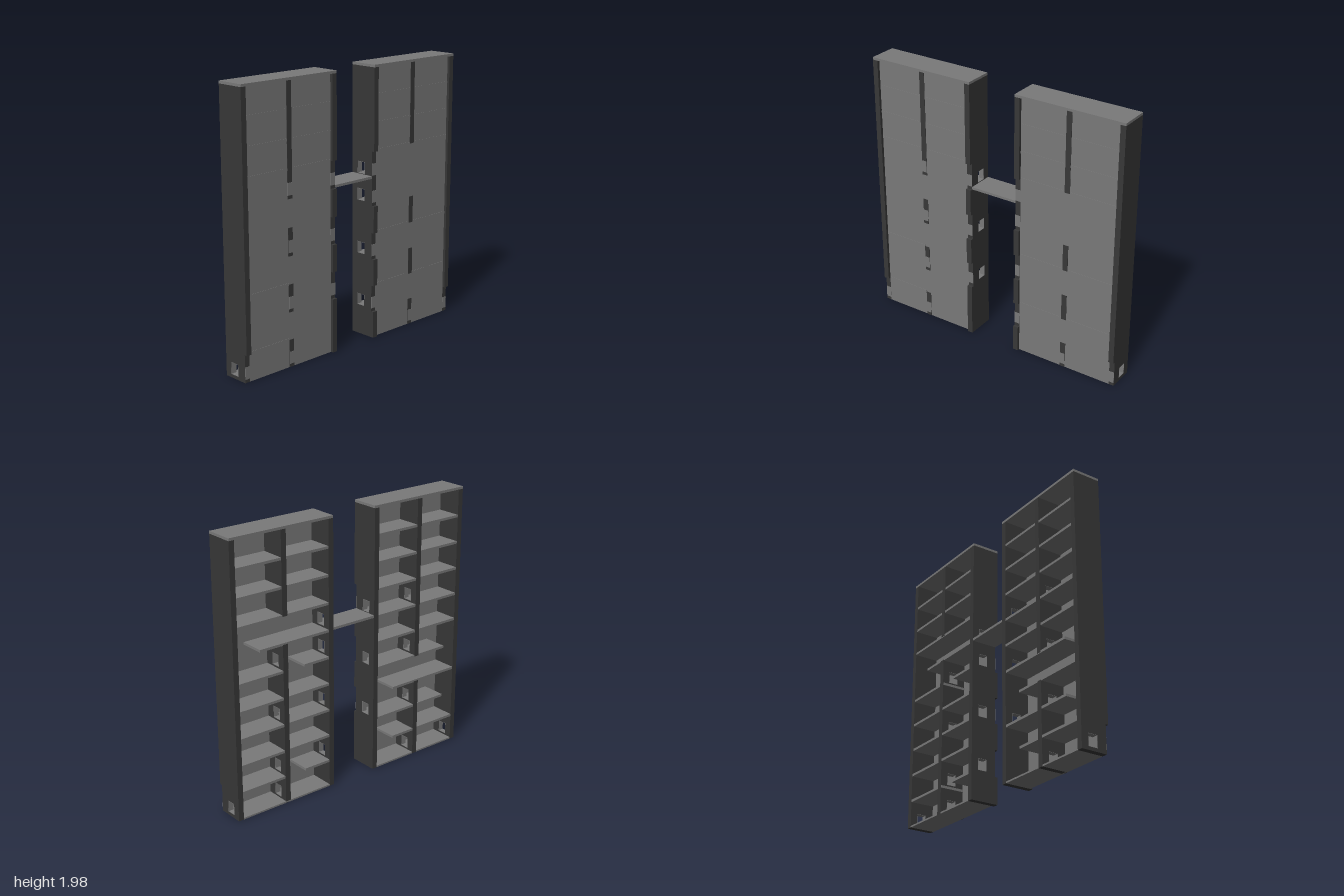
import * as THREE from 'three';

const wallMat = new THREE.MeshStandardMaterial({ color: 0x383838 });
wallMat.name = 'dark wall';
const slabMat = new THREE.MeshStandardMaterial({ color: 0x7a7a7a });
slabMat.name = 'grey slab';

const ROW = 0.196;          // storey height
const OPEN = -0.107;        // open side of the section
const EDGE = 0.105;         // outer end of plain walls
const PANEL = 0.085;        // outer face of the back panel
const T = 0.04;             // wall thickness
const SLAB = 0.018;
const DOOR = { x0: -0.055, x1: 0.015, h0: 0.024, h1: 0.11 };

// Box given by its minimum and maximum corners
function box(group, name, mat, x0, x1, y0, y1, z0, z1) {
  const mesh = new THREE.Mesh(new THREE.BoxGeometry(x1 - x0, y1 - y0, z1 - z0), mat);
  mesh.position.set((x0 + x1) / 2, (y0 + y1) / 2, (z0 + z1) / 2);
  mesh.name = name;
  group.add(mesh);
}

// One storey of wall, with a lined doorway if asked for
function wallRow(group, name, row, z, door, end) {
  const y0 = row * ROW, y1 = y0 + ROW, z0 = z - T / 2, z1 = z + T / 2;
  if (!door) {
    box(group, name, wallMat, OPEN, end, y0, y1, z0, z1);
    return;
  }
  const a = y0 + DOOR.h0, b = y0 + DOOR.h1, t = 0.002;
  box(group, name, wallMat, OPEN, DOOR.x0, y0, y1, z0, z1);
  box(group, name, wallMat, DOOR.x1, end, y0, y1, z0, z1);
  box(group, name + 'Lintel', wallMat, DOOR.x0, DOOR.x1, b, y1, z0, z1);
  box(group, name + 'Sill', wallMat, DOOR.x0, DOOR.x1, y0, a, z0, z1);
  // doorway lining
  box(group, 'doorJamb', slabMat, DOOR.x0, DOOR.x0 + t, a, b, z0, z1);
  box(group, 'doorJamb', slabMat, DOOR.x1 - t, DOOR.x1, a, b, z0, z1);
  box(group, 'doorHead', slabMat, DOOR.x0, DOOR.x1, b - t, b, z0, z1);
  box(group, 'doorThreshold', slabMat, DOOR.x0, DOOR.x1, a, a + t, z0, z1);
  // pale plate on the wall end beside the door
  box(group, 'doorEndPlate', slabMat, end, end + t, a, b, z0, z1);
}

function tower(spec) {
  const g = new THREE.Group();
  g.name = spec.name;
  const [zMin, zMax] = spec.z;
  const inMin = zMin + T, inMax = zMax - T;

  // outer and middle walls, storey by storey
  for (let r = 0; r < 10; r++) {
    const inner = spec.innerDoors.includes(r), outer = spec.outerDoors.includes(r);
    wallRow(g, 'innerWall', r, spec.innerZ, inner, inner ? PANEL : EDGE);
    wallRow(g, 'outerWall', r, spec.outerZ, outer, outer ? PANEL : EDGE);
    if (spec.noMiddle.includes(r)) continue;
    const hidden = spec.hiddenMiddle.includes(r);
    wallRow(g, 'middleWall', r, spec.middleZ, spec.middleDoors.includes(r), hidden ? 0.076 : PANEL + 0.003);
  }

  // back panel, base and roof
  box(g, 'backPanel', slabMat, PANEL - 0.01, PANEL, 0, 10 * ROW, inMin, inMax);
  box(g, 'base', slabMat, OPEN, PANEL - 0.001, 0, 0.012, inMin, inMax);
  box(g, 'roof', slabMat, OPEN, EDGE, 10 * ROW, 10 * ROW + SLAB, zMin, zMax);

  // floors: [level, z from, z to, shows through the panel]
  for (const [level, a, b, through] of spec.floors) {
    const y = level * ROW + 0.012;
    box(g, 'floor', slabMat, OPEN + 0.001, through ? PANEL + 0.002 : 0.078, y - SLAB, y, a, b);
  }
  return g;
}

export function createModel() {
  const model = new THREE.Group();
  model.name = 'twinTowerSection';

  const front = [0.22, 0.96], back = [-0.96, -0.22];
  model.add(tower({
    name: 'frontTower', z: [0.18, 1], innerZ: 0.2, outerZ: 0.98, middleZ: 0.59,
    innerDoors: [2, 4, 6], outerDoors: [0], middleDoors: [0, 2, 4, 6],
    noMiddle: [3], hiddenMiddle: [1, 5],
    floors: [
      [1, 0.61, 0.96, true], [1, 0.37, 0.61, false],
      [2, 0.22, 0.86, false],
      [3, 0.61, 0.96, true], [3, 0.37, 0.61, false],
      [4, 0.22, 0.86, false], [5, ...front, false], [6, ...front, false],
      [7, ...front, true], [8, ...front, true], [9, ...front, true],
    ],
  }));
  model.add(tower({
    name: 'backTower', z: [-1, -0.18], innerZ: -0.2, outerZ: -0.98, middleZ: -0.585,
    innerDoors: [1, 3, 5, 6], outerDoors: [0], middleDoors: [0, 1, 3, 5],
    noMiddle: [6], hiddenMiddle: [1, 3, 5],
    floors: [
      [1, -0.96, -0.56, false], [1, -0.43, -0.22, false],
      [2, ...back, true], [3, ...back, false], [4, ...back, true],
      [5, -0.96, -0.56, false], [5, -0.43, -0.22, false],
      [6, -0.79, -0.22, false],
      [7, ...back, true], [8, ...back, true], [9, ...back, true],
    ],
  }));

  // footbridge joining the two towers
  box(model, 'footbridge', slabMat, OPEN, PANEL, 1.178, 1.196, -0.18, 0.18);
  return model;
}
